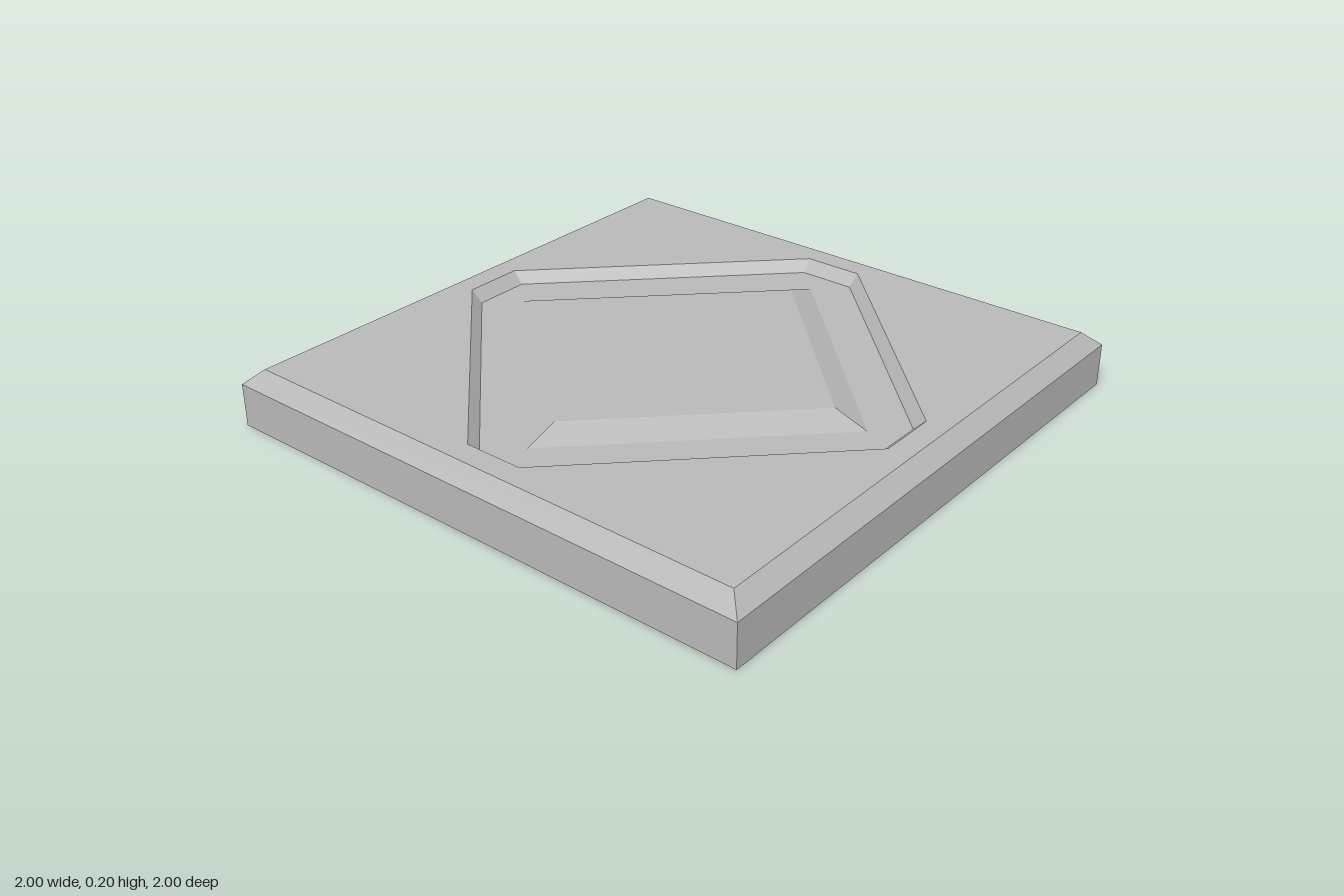
import * as THREE from 'three';

// Corner loops as [x, z], running the same way round
const square = (r) => [[r, r], [r, -r], [-r, -r], [-r, r]];
const diamond = (r) => [[0, r], [r, 0], [0, -r], [-r, 0]];
const octagon = (a, b) => [[b, a], [a, b], [a, -b], [b, -a], [-b, -a], [-a, -b], [-a, b], [-b, a]];

// Sloping band of quads from a lower/outer loop to the next loop
function band(from, y0, to, y1) {
  const pos = [];
  from.forEach((p, i) => {
    const j = (i + 1) % from.length;
    const a = [p[0], y0, p[1]], b = [from[j][0], y0, from[j][1]];
    const c = [to[j][0], y1, to[j][1]], d = [to[i][0], y1, to[i][1]];
    pos.push(...a, ...b, ...c, ...a, ...c, ...d);
  });
  const g = new THREE.BufferGeometry();
  g.setAttribute('position', new THREE.Float32BufferAttribute(pos, 3));
  g.computeVertexNormals();
  return g;
}

// Flat horizontal face at height y, with an optional hole
function plate(outer, y, hole, down = false) {
  const points = (loop) => loop.map(([x, z]) => new THREE.Vector2(x, down ? z : -z));
  const shape = new THREE.Shape(points(outer));
  if (hole) shape.holes.push(new THREE.Path(points(hole)));
  const g = new THREE.ShapeGeometry(shape);
  g.rotateX(down ? Math.PI / 2 : -Math.PI / 2);
  g.translate(0, y, 0);
  return g;
}

export function createModel() {
  const group = new THREE.Group();
  group.name = 'floorTile';
  const stone = new THREE.MeshStandardMaterial({ color: 0xb8b8b8 });
  stone.name = 'grey stone';
  const add = (name, geometry) => {
    const mesh = new THREE.Mesh(geometry, stone);
    mesh.name = name;
    group.add(mesh);
  };

  const top = 0.2, floor = 0.16;
  const rim = octagon(0.865, 0.105), foot = octagon(0.825, 0.1);

  // Slab with a chamfered upper edge
  add('underside', plate(square(1), 0, null, true));
  add('slabSides', band(square(1), 0, square(1), 0.15));
  add('slabChamfer', band(square(1), 0.15, square(0.945), top));
  add('slabTop', plate(square(0.945), top, rim));

  // Sunken octagonal panel
  add('recessWall', band(rim, top, foot, floor));
  add('recessFloor', plate(foot, floor, diamond(0.725)));

  // Raised diamond in the middle
  add('diamondSlope', band(diamond(0.725), floor, diamond(0.605), top));
  add('diamondTop', plate(diamond(0.605), top));
  return group;
}
